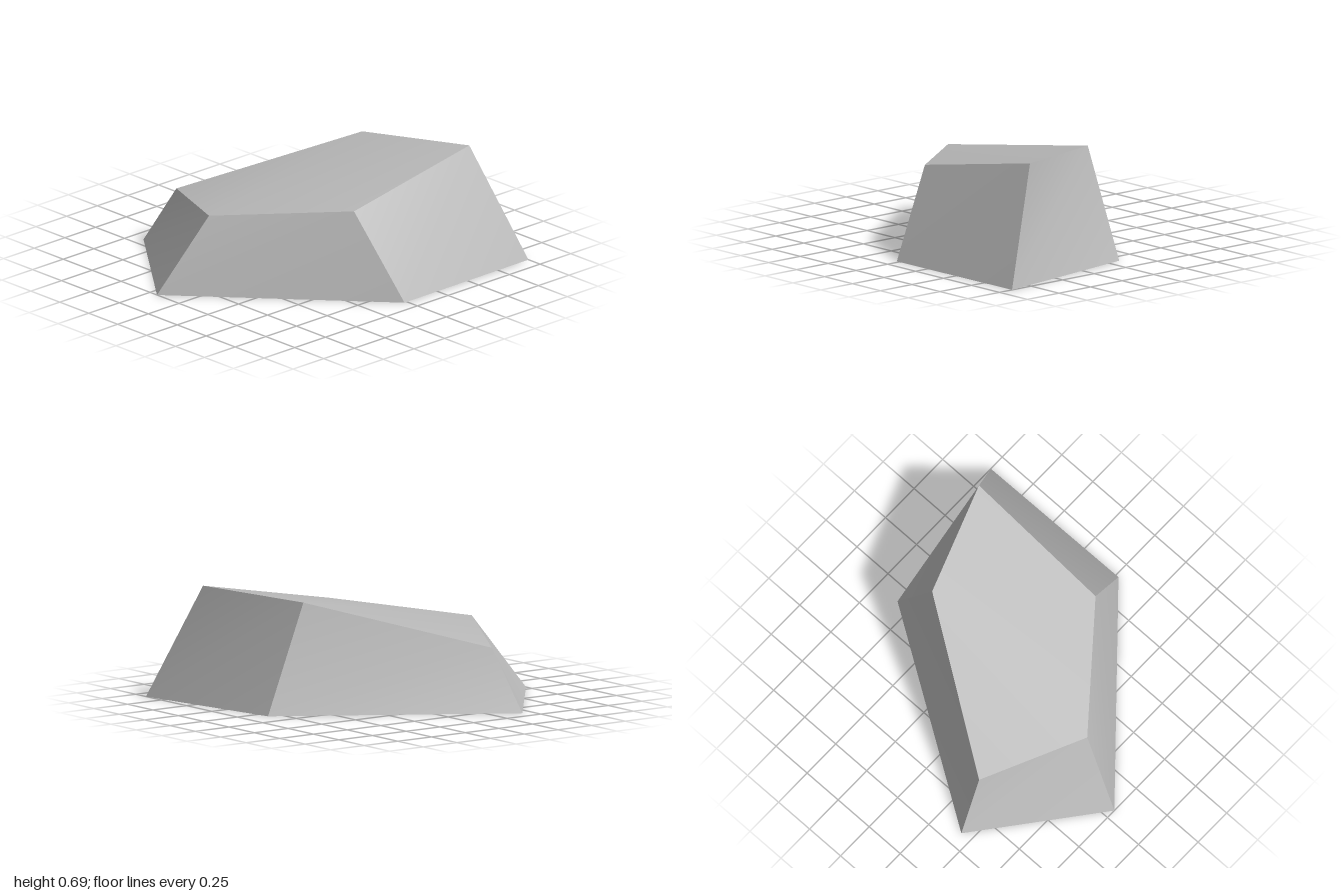
import * as THREE from 'three';

// Corner rings, counter-clockwise seen from above
const base = [[1, 0, 0.9], [0.84, 0, -0.09], [-0.43, 0, -0.91], [-1, 0, -0.19], [-0.02, 0, 0.91]];
const crown = [[0.81, 0.69, 0.59], [0.57, 0.655, -0.08], [-0.37, 0.37, -0.69], [-0.68, 0.45, -0.08], [-0.13, 0.52, 0.59]];

// One facet with its own corners, so edges between facets stay sharp
function facet(name, corners, index, material) {
  const geometry = new THREE.BufferGeometry();
  geometry.setAttribute('position', new THREE.Float32BufferAttribute(corners.flat(), 3));
  geometry.setIndex(index);
  geometry.computeVertexNormals();
  const mesh = new THREE.Mesh(geometry, material);
  mesh.name = name;
  return mesh;
}

export function createModel() {
  const stone = new THREE.MeshStandardMaterial({ color: 0xb8b8b8 });
  stone.name = 'stone grey';
  const rock = new THREE.Group();
  rock.name = 'rock';

  // Sloping sides
  base.forEach((corner, i) => {
    const j = (i + 1) % base.length;
    rock.add(facet(`side${i + 1}`, [corner, base[j], crown[j], crown[i]], [0, 1, 2, 0, 2, 3], stone));
  });

  // Gently bent top, dipping toward the back, and flat underside
  rock.add(facet('top', crown, [1, 2, 3, 0, 1, 3, 0, 3, 4], stone));
  rock.add(facet('underside', base, [0, 2, 1, 0, 3, 2, 0, 4, 3], stone));
  return rock;
}
